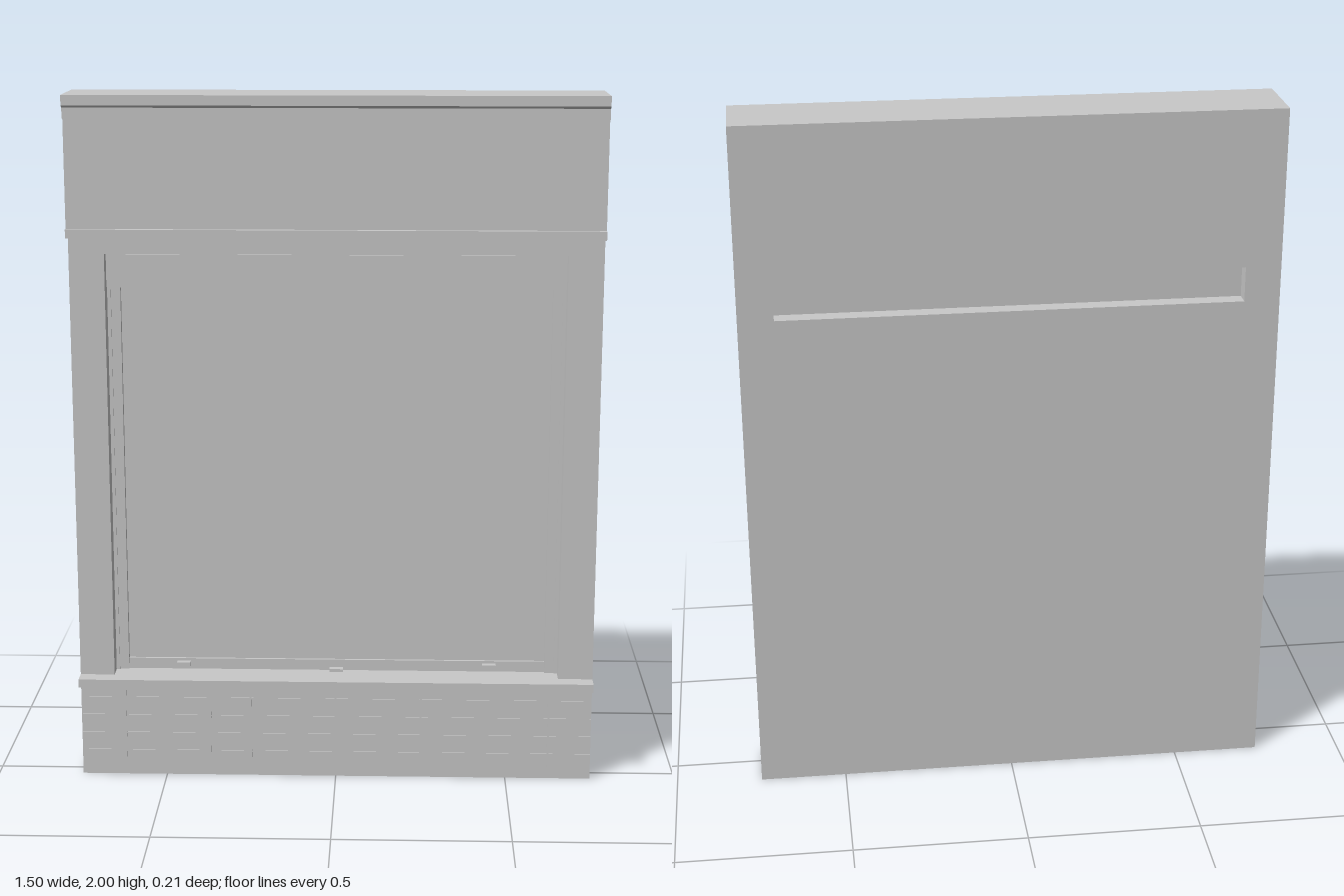
import * as THREE from 'three';

export function createModel() {
  const model = new THREE.Group();
  model.name = 'garageDoorFacade';
  const grey = new THREE.MeshStandardMaterial({ color: 0xc8c8c8 });
  grey.name = 'plain grey';

  const add = (name, geometry) => {
    const mesh = new THREE.Mesh(geometry, grey);
    mesh.name = name;
    model.add(mesh);
    return mesh;
  };
  // Box given by its limits on each axis
  const box = (name, x0, x1, y0, y1, z0, z1) => {
    const g = new THREE.BoxGeometry(x1 - x0, y1 - y0, z1 - z0);
    g.translate((x0 + x1) / 2, (y0 + y1) / 2, (z0 + z1) / 2);
    return add(name, g);
  };

  const W = 0.75, BACK = -0.105, FACE = 0.045;

  // Wall with the door opening cut through it
  const wall = new THREE.Shape();
  wall.moveTo(-W, 0).lineTo(W, 0).lineTo(W, 2).lineTo(-W, 2).closePath();
  const opening = new THREE.Path();
  opening.moveTo(-0.65, 0.31).lineTo(-0.65, 1.555).lineTo(0.65, 1.555).lineTo(0.65, 0.31).closePath();
  wall.holes.push(opening);
  const wallGeometry = new THREE.ExtrudeGeometry(wall, { depth: FACE - BACK, bevelEnabled: false });
  wallGeometry.translate(0, 0, BACK);
  add('wall', wallGeometry);

  // Fascia with stepped cornice and lower moulding, drawn as a side profile (z, y)
  const profile = new THREE.Shape([
    [FACE, 1.605], [0.095, 1.605], [0.095, 1.63], [0.08, 1.63], [0.08, 1.935],
    [0.093, 1.935], [0.093, 1.965], [0.105, 1.972], [0.105, 2], [FACE, 2],
  ].map(([z, y]) => new THREE.Vector2(z, y)));
  const fascia = new THREE.ExtrudeGeometry(profile, { depth: 2 * W, bevelEnabled: false });
  fascia.rotateY(-Math.PI / 2);
  fascia.translate(W, 0, 0);
  add('fascia', fascia);

  // Door, its bottom bar and the header, which leaves a slot in the back
  box('door', -0.65, 0.65, 0.31, 1.455, BACK, -0.022);
  box('bottomBar', -0.615, 0.615, 0.31, 0.342, -0.022, -0.014);
  box('headerCore', -0.65, 0.65, 1.455, 1.555, -0.06, 0.009);
  box('headerPanel', -0.645, 0.645, 1.455, 1.55, 0.009, 0.016);

  // Side rails and their outer trim
  for (const s of [-1, 1]) {
    const side = s < 0 ? 'right' : 'left';
    const span = (a, b) => (s < 0 ? [-b, -a] : [a, b]);
    box(side + 'Rail', ...span(0.613, 0.65), 0.31, 1.455, -0.022, -0.006);
    box(side + 'RailTrim', ...span(0.64, 0.65), 0.31, 1.455, -0.006, -0.002);
    box(side + 'Handle', ...span(0.43, 0.47), 0.322, 0.335, -0.014, 0.005);
  }
  box('lock', -0.02, 0.02, 0.31, 0.319, -0.014, 0.005);

  // Sill
  box('sill', -W, W, 0.285, 0.31, FACE, 0.092);

  // Thin joints across the base
  for (const y of [0.075, 0.13, 0.185, 0.24]) {
    box('horizontalJoint', -W, W, y - 0.002, y + 0.002, FACE, FACE + 0.002);
  }
  for (const x of [-0.62, -0.37, -0.25, 0, 0.25, 0.625]) {
    box('verticalJoint', x - 0.003, x + 0.003, 0.025, 0.27, FACE, FACE + 0.003);
  }
  return model;
}
